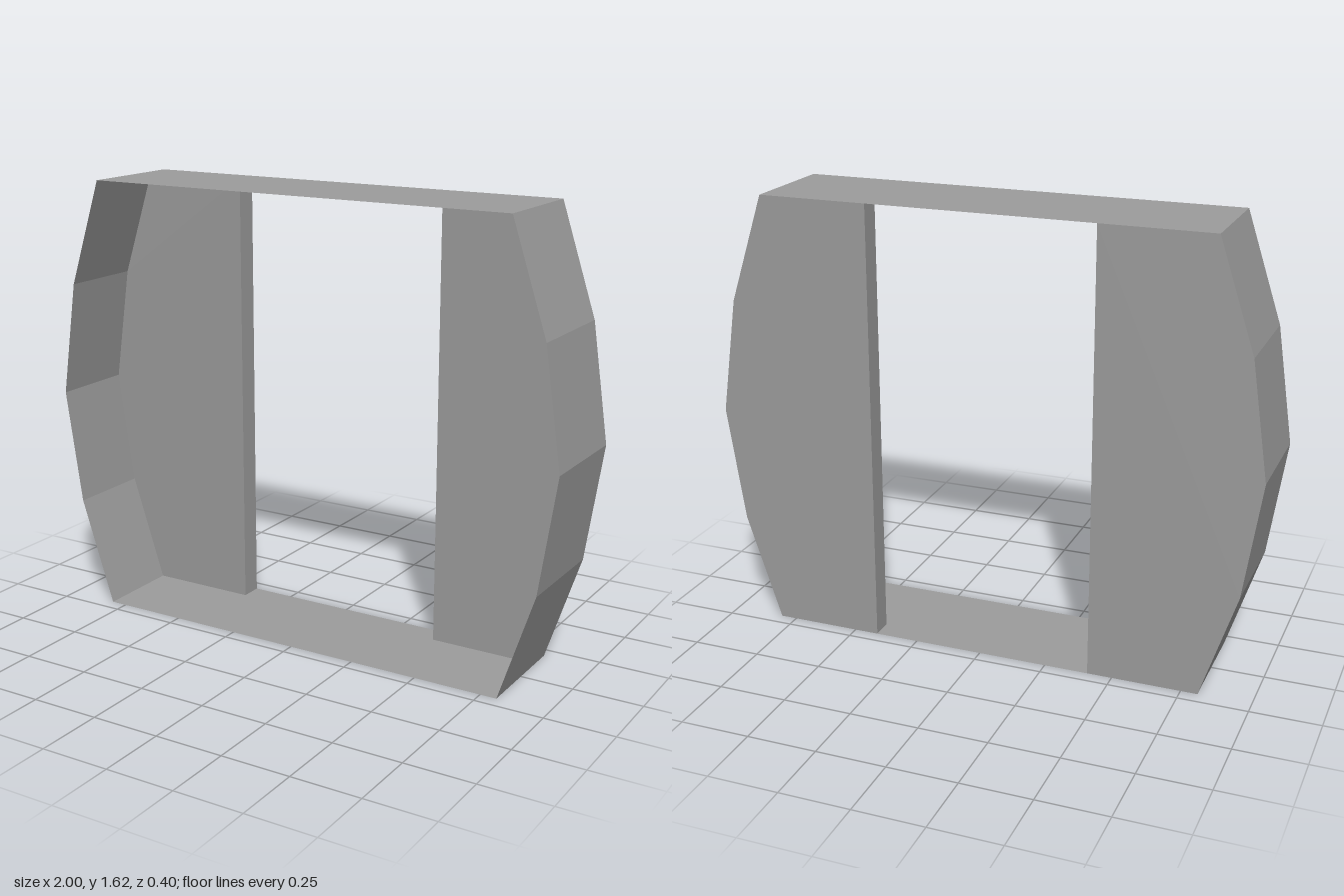
import * as THREE from 'three';

const DEPTH = 0.4;
const PANEL_THICKNESS = 0.08;
const HEIGHT = 1.62;
const INNER_X = 0.41;
const COLOR = 0x9d9d9d;

// Bowed side profile from bottom to top, on the +x side
const SIDE = [[0.81, 0], [0.938, 0.39], [1, 0.81], [0.938, 1.23], [0.81, HEIGHT]];

// Thin band swept along z through an outline, one flat quad per segment
function bandGeometry(points) {
  const positions = [];
  const f = DEPTH / 2, b = -DEPTH / 2;
  for (let i = 0; i < points.length - 1; i++) {
    const [x0, y0] = points[i], [x1, y1] = points[i + 1];
    positions.push(x0, y0, f, x0, y0, b, x1, y1, b);
    positions.push(x0, y0, f, x1, y1, b, x1, y1, f);
  }
  const geometry = new THREE.BufferGeometry();
  geometry.setAttribute('position', new THREE.Float32BufferAttribute(positions, 3));
  geometry.computeVertexNormals();
  return geometry;
}

// Upright back panel filling one bowed side up to the central opening
function panelGeometry(sign) {
  const outline = [[INNER_X, 0], ...SIDE, [INNER_X, HEIGHT]];
  const shape = new THREE.Shape(outline.map(([x, y]) => new THREE.Vector2(sign * x, y)));
  const geometry = new THREE.ExtrudeGeometry(shape, { depth: PANEL_THICKNESS, bevelEnabled: false });
  geometry.translate(0, 0, -DEPTH / 2);
  return geometry;
}

export function createModel() {
  const group = new THREE.Group();
  group.name = 'openFrame';
  const solid = new THREE.MeshStandardMaterial({ color: COLOR, flatShading: true });
  const thin = new THREE.MeshStandardMaterial({ color: COLOR, flatShading: true, side: THREE.DoubleSide });

  const add = (name, geometry, material) => {
    const mesh = new THREE.Mesh(geometry, material);
    mesh.name = name;
    group.add(mesh);
  };

  // Thin outer shell: bowed walls, top and bottom plates
  const mirrored = SIDE.map(([x, y]) => [-x, y]).reverse();
  add('leftWall', bandGeometry(SIDE), thin);
  add('topPlate', bandGeometry([SIDE[4], mirrored[0]]), thin);
  add('rightWall', bandGeometry(mirrored), thin);
  add('bottomPlate', bandGeometry([mirrored[4], SIDE[0]]), thin);

  // Back panels on both sides of the opening
  add('leftPanel', panelGeometry(1), solid);
  add('rightPanel', panelGeometry(-1), solid);

  return group;
}
